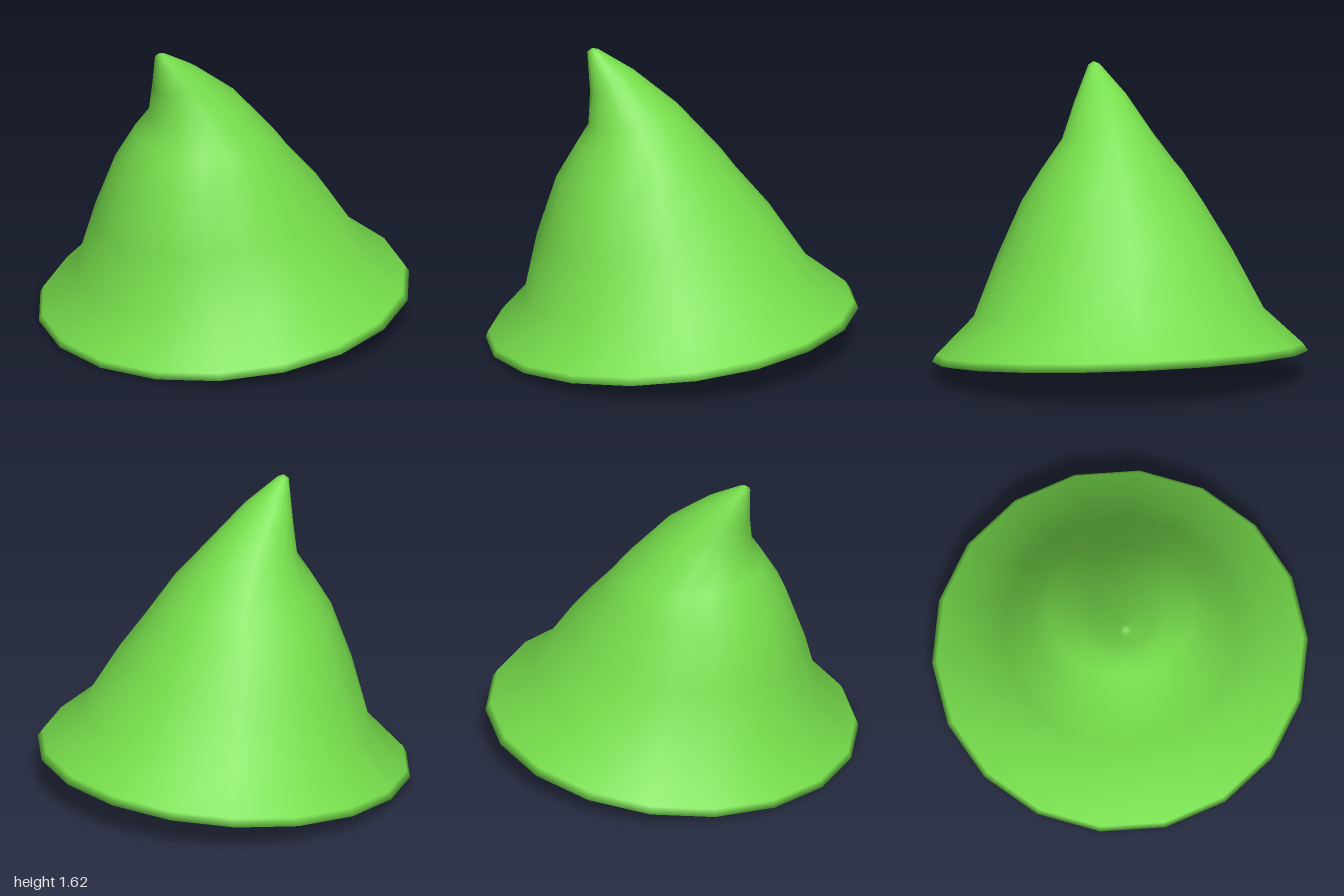
import * as THREE from 'three';

const SIDES = 18;

// Cross-sections from brim to tip: left x, left y, right x, right y, half depth
const RINGS = [
  [-0.92, 0.005, 0.91, 0.19, 0.95],
  [-0.975, 0.015, 0.975, 0.205, 1.0],
  [-0.96, 0.05, 0.95, 0.245, 0.975],
  [-0.775, 0.27, 0.73, 0.42, 0.77],
  [-0.71, 0.6, 0.53, 0.72, 0.62],
  [-0.61, 0.92, 0.35, 0.93, 0.48],
  [-0.505, 1.11, 0.27, 1.04, 0.385],
  [-0.445, 1.215, 0.03, 1.315, 0.24],
  [-0.44, 1.395, -0.21, 1.505, 0.14],
  [-0.46, 1.605, -0.4, 1.62, 0.03],
];

// Points of one tilted oval, with corners at the very front and back
function ringPoints([lx, ly, rx, ry, depth]) {
  const points = [];
  for (let k = 0; k < SIDES; k++) {
    const a = ((k + 0.5) / SIDES) * Math.PI * 2;
    const t = 0.5 + (0.5 * Math.cos(a)) / Math.cos(Math.PI / SIDES);
    points.push(lx + (rx - lx) * t, ly + (ry - ly) * t, depth * Math.sin(a));
  }
  return points;
}

function makeGeometry(positions, index) {
  const geometry = new THREE.BufferGeometry();
  geometry.setAttribute('position', new THREE.Float32BufferAttribute(positions, 3));
  geometry.setIndex(index);
  geometry.computeVertexNormals();
  return geometry;
}

export function createModel() {
  const group = new THREE.Group();
  group.name = 'pointedHat';
  const material = new THREE.MeshStandardMaterial({ color: 0x76dd4b });

  // Brim and bent cone as one smooth skin
  const positions = RINGS.flatMap(ringPoints);
  const index = [];
  for (let i = 0; i < RINGS.length - 1; i++) {
    for (let k = 0; k < SIDES; k++) {
      const n = (k + 1) % SIDES;
      const a = i * SIDES + k, b = i * SIDES + n;
      const c = a + SIDES, d = b + SIDES;
      index.push(a, c, b, b, c, d);
    }
  }
  // Rounded-off tip
  const last = (RINGS.length - 1) * SIDES;
  const apex = positions.length / 3;
  positions.push(-0.435, 1.628, 0);
  for (let k = 0; k < SIDES; k++) index.push(last + k, apex, last + ((k + 1) % SIDES));
  const cone = new THREE.Mesh(makeGeometry(positions, index), material);
  cone.name = 'brimAndCone';
  group.add(cone);

  // Flat underside
  const [lx, ly, rx, ry] = RINGS[0];
  const capPositions = [...ringPoints(RINGS[0]), (lx + rx) / 2, (ly + ry) / 2, 0];
  const capIndex = [];
  for (let k = 0; k < SIDES; k++) capIndex.push(SIDES, k, (k + 1) % SIDES);
  const underside = new THREE.Mesh(makeGeometry(capPositions, capIndex), material);
  underside.name = 'underside';
  group.add(underside);

  return group;
}
